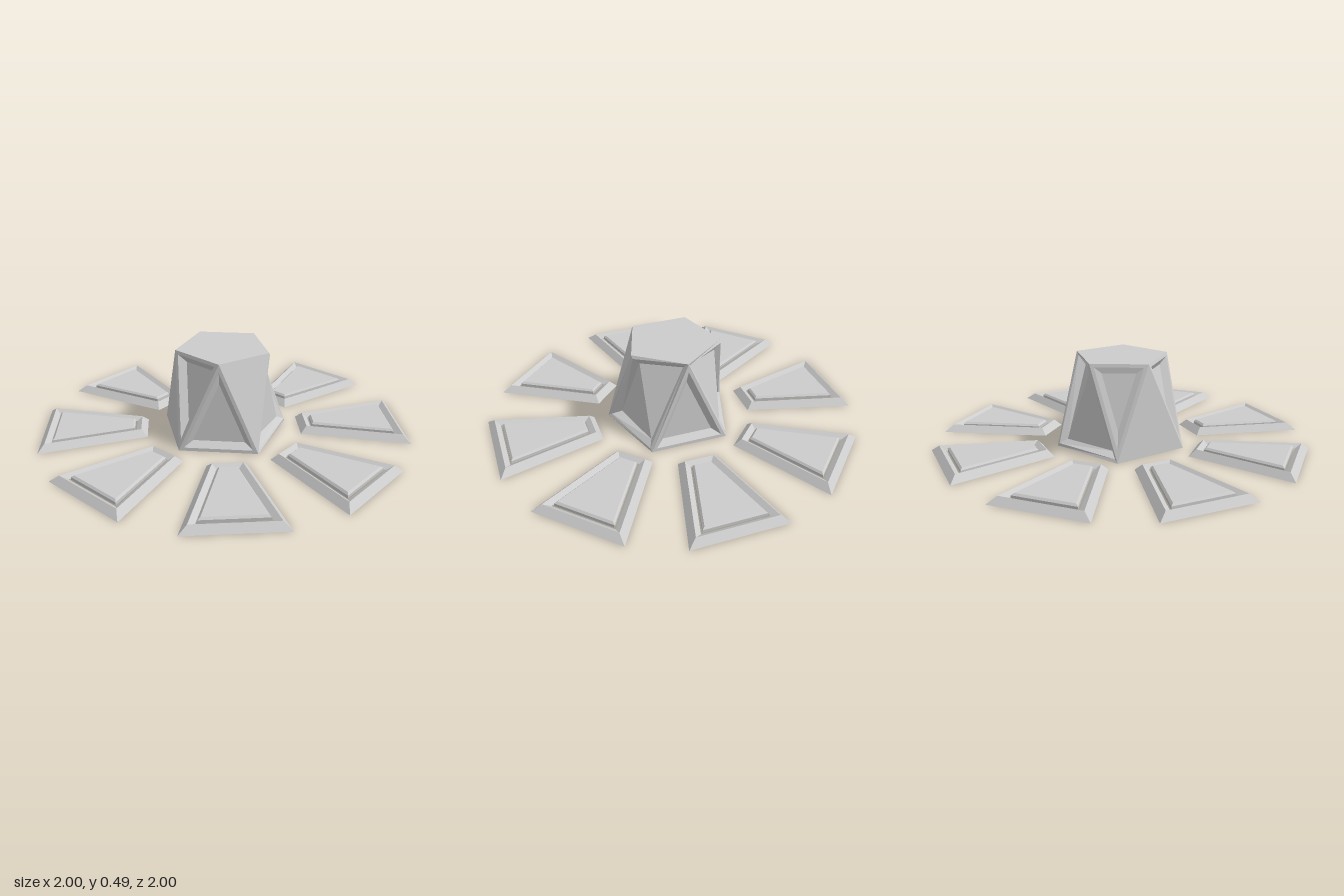
import * as THREE from 'three';

const V = (x, y, z) => new THREE.Vector3(x, y, z);
const material = new THREE.MeshStandardMaterial({ color: 0xcccccc, flatShading: true });
const sheetMaterial = material.clone();
sheetMaterial.side = THREE.DoubleSide;

// Offset a loop inward by d and raise it by h along its normal n
function inset(loop, n, d, h) {
  const count = loop.length;
  return loop.map((p, i) => {
    const before = p.clone().sub(loop[(i + count - 1) % count]).normalize();
    const after = loop[(i + 1) % count].clone().sub(p).normalize();
    const a = n.clone().cross(before);
    const b = n.clone().cross(after);
    const k = d / (1 + a.dot(b));
    return p.clone().add(a.add(b).multiplyScalar(k)).addScaledVector(n, h);
  });
}

// Average normal of a loop
function loopNormal(loop) {
  const n = V(0, 0, 0);
  loop.forEach((p, i) => n.add(p.clone().cross(loop[(i + 1) % loop.length])));
  return n.normalize();
}

// Fan of triangles over a loop
function cap(out, loop) {
  for (let i = 1; i < loop.length - 1; i++) out.push(loop[0], loop[i], loop[i + 1]);
}

// Bands of quads between successive loops
function bands(out, loops) {
  for (let k = 0; k < loops.length - 1; k++) {
    const a = loops[k], b = loops[k + 1];
    a.forEach((p, i) => {
      const j = (i + 1) % a.length;
      out.push(p, a[j], b[j], p, b[j], b[i]);
    });
  }
}

function makeMesh(name, points, mat = material) {
  const geometry = new THREE.BufferGeometry().setFromPoints(points);
  geometry.computeVertexNormals();
  const mesh = new THREE.Mesh(geometry, mat);
  mesh.name = name;
  return mesh;
}

// Pentagon ring; angles run from +x towards +z
function pentagon(radius, y, startDeg) {
  return Array.from({ length: 5 }, (_, i) => {
    const a = THREE.MathUtils.degToRad(startDeg + i * 72);
    return V(radius * Math.cos(a), y, radius * Math.sin(a));
  });
}

// Twisted pentagonal tower with sunken panels
function createTower() {
  const group = new THREE.Group();
  group.name = 'tower';
  const b = pentagon(0.36, 0, -36);
  const t = pentagon(0.262, 0.49, 0);
  const middle = V(0, 0.245, 0);

  const addPanel = (name, corners, depth) => {
    let loop = corners;
    if (loopNormal(loop).dot(loop[0].clone().sub(middle)) < 0) {
      loop = [loop[0], ...loop.slice(1).reverse()];
    }
    const points = [];
    if (depth > 0) {
      const n = loopNormal(loop);
      const floor = inset(loop, n, 0.048, -depth);
      bands(points, [loop, inset(loop, n, 0.018, 0), floor]);
      cap(points, floor);
    } else cap(points, loop);
    group.add(makeMesh(name, points));
  };

  // Wide folded recesses either side of the +x panel
  addPanel('foldedPanel', [t[1], t[0], b[1], b[2]], 0.035);
  addPanel('foldedPanel', [t[4], t[0], b[0], b[4]], 0.035);
  // Single triangular panels, sunken or flush
  addPanel('uprightPanel', [b[0], b[1], t[0]], 0.035);
  addPanel('uprightPanel', [b[2], b[3], t[2]], 0.035);
  addPanel('uprightPanel', [b[3], b[4], t[3]], 0);
  addPanel('invertedPanel', [t[1], t[2], b[2]], 0);
  addPanel('invertedPanel', [t[2], t[3], b[3]], 0.035);
  addPanel('invertedPanel', [t[3], t[4], b[4]], 0.008);

  const ends = [];
  cap(ends, [...t].reverse());
  cap(ends, b);
  group.add(makeMesh('towerEnds', ends));
  return group;
}

// Floor tile: hollow ridged frame, narrow open slot, and a bevelled slab inside
function createTile() {
  const group = new THREE.Group();
  group.name = 'floorTile';
  const up = V(0, 1, 0);
  const outline = [V(0.425, 0, 0.115), V(1, 0, 0.268), V(1, 0, -0.245), V(0.425, 0, -0.095)];
  const loop = ([d, h]) => inset(outline, up, d, h);

  const frame = [];
  bands(frame, [[0, 0], [0.034, 0.036], [0.062, 0.016]].map(loop));
  group.add(makeMesh('tileFrame', frame, sheetMaterial));

  const slab = [];
  const loops = [[0.07, 0.014], [0.07, 0.03], [0.08, 0.04]].map(loop);
  bands(slab, loops);
  cap(slab, loops[2]);
  cap(slab, [...loops[0]].reverse());
  group.add(makeMesh('tileSlab', slab));
  return group;
}

export function createModel() {
  const model = new THREE.Group();
  model.name = 'towerWithTileRing';
  model.add(createTower());

  // Eight tiles around the tower
  const tile = createTile();
  for (let i = 0; i < 8; i++) {
    const copy = tile.clone();
    copy.rotation.y = -i * Math.PI / 4;
    model.add(copy);
  }
  return model;
}
